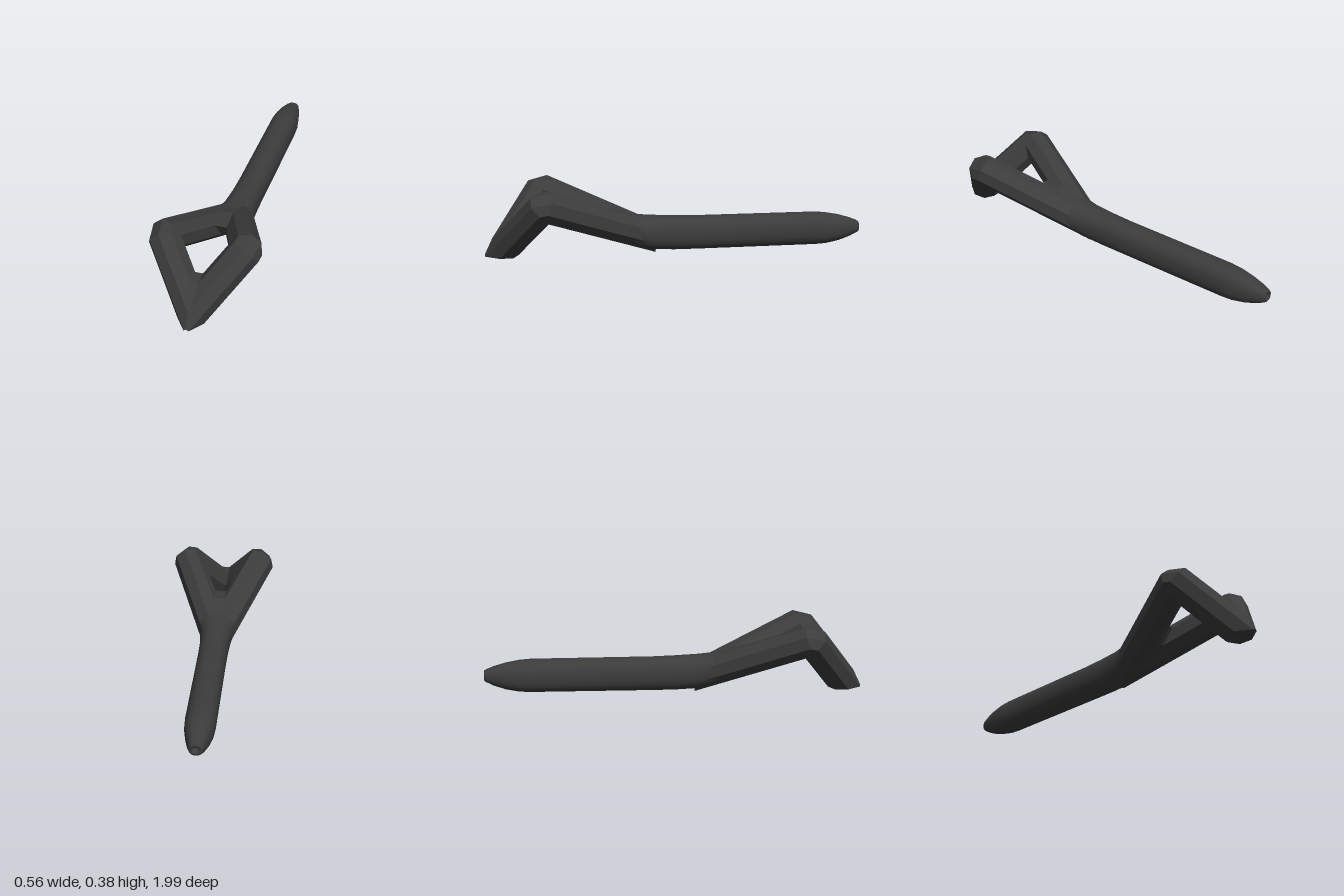
import * as THREE from 'three';

const V = (x, y, z) => new THREE.Vector3(x, y, z);

// Skin a list of closed rings; flip reverses the facing, capEnd closes the last ring
function loft(rings, flip, capEnd) {
  const n = rings[0].length, index = [];
  const tri = (a, b, c) => (flip ? index.push(a, c, b) : index.push(a, b, c));
  for (let i = 0; i < rings.length - 1; i++) {
    for (let j = 0; j < n; j++) {
      const k = (j + 1) % n, a = i * n, b = a + n;
      tri(a + j, a + k, b + k);
      tri(a + j, b + k, b + j);
    }
  }
  const points = rings.flat();
  if (capEnd) {
    const last = (rings.length - 1) * n;
    points.push(capEnd);
    for (let j = 0; j < n; j++) tri(points.length - 1, last + j, last + ((j + 1) % n));
  }
  const geometry = new THREE.BufferGeometry().setFromPoints(points);
  geometry.setIndex(index);
  return geometry;
}

// Octagon points (o: outside of the bend, n: across it), edges subdivided for clean cuts
function octagon(radius, steps) {
  const pts = [];
  const corner = (k) => {
    const a = Math.PI / 8 + (k * Math.PI) / 4;
    return new THREE.Vector2(Math.cos(a), Math.sin(a)).multiplyScalar(radius);
  };
  for (let k = 0; k < 8; k++) {
    for (let s = 0; s < steps; s++) pts.push(corner(k).lerp(corner(k + 1), s / steps));
  }
  return pts;
}

// One side of the loop: rear strut, bevelled elbow, front strut cut at the ground
function armGeometry(side) {
  const elbow = V(0.205, 0.3, 0.685);
  const A = V(0.38, 0.4, 1).normalize();
  const B = V(-1, -1.27, 0.98).normalize();
  const N = A.clone().cross(B).normalize();
  const dot = A.dot(B);
  const outA = B.clone().negate().addScaledVector(A, dot).normalize();
  const outB = A.clone().addScaledVector(B, -dot).normalize();
  const miter = Math.tan(Math.acos(dot) / 2);
  const rings = [[], [], [], [], [], []];
  const toCentre = (p, joins) => V(joins ? 0 : p.x, p.y, p.z);

  for (const { x: o, y: n } of octagon(0.081, 4)) {
    const cut = Math.min(0, o * miter);
    const inner = Math.max(0, -n / 0.075);
    const pA = elbow.clone().addScaledVector(outA, o).addScaledVector(N, n).addScaledVector(A, cut);
    const pB = elbow.clone().addScaledVector(outB, o).addScaledVector(N, n).addScaledVector(B, -cut);

    // rear end meets its mirror image or runs into the handle
    const rearX = (pA.x - 0.03 * inner) / A.x, rearZ = (pA.z - 0.1) / A.z;
    const rear = pA.clone().addScaledVector(A, -Math.min(rearX, rearZ));
    // front end meets its mirror image or stops on the ground
    const frontX = (pB.x - 0.02 * inner) / -B.x, frontY = pB.y / -B.y;
    const front = pB.clone().addScaledVector(B, Math.min(frontX, frontY));

    [toCentre(rear, rearX < rearZ), rear, pA, pB, front, toCentre(front, frontX < frontY)]
      .forEach((p, i) => rings[i].push(V(p.x * side, p.y, p.z)));
  }
  const geometry = loft(rings, side > 0, V(0, 0, 0.92)).toNonIndexed();
  geometry.computeVertexNormals();
  return geometry;
}

// Rounded grip from cross-sections: z, half width, bottom, top
function handleGeometry() {
  const sections = [
    [0.27, 0.118, 0.06, 0.203],
    [0.2, 0.1, 0.032, 0.192],
    [0.12, 0.084, 0.008, 0.186],
    [0, 0.077, 0.001, 0.18],
    [-0.12, 0.075, 0, 0.176],
    [-0.76, 0.075, 0, 0.173],
    [-0.82, 0.072, 0.003, 0.168],
    [-0.89, 0.06, 0.016, 0.155],
    [-0.95, 0.046, 0.036, 0.138],
    [-0.99, 0.034, 0.055, 0.122],
    [-1, 0.028, 0.062, 0.115],
    [-0.998, 0.018, 0.073, 0.105],
    [-0.975, 0.016, 0.075, 0.103],
  ];
  const round = (v) => Math.sign(v) * Math.abs(v) ** 0.85;
  const rings = sections.map(([z, w, y0, y1]) =>
    Array.from({ length: 24 }, (_, j) => {
      const a = (j / 24) * Math.PI * 2;
      return V(w * round(Math.cos(a)), (y0 + y1) / 2 + ((y1 - y0) / 2) * round(Math.sin(a)), z);
    }));
  const geometry = loft(rings, true, V(0, 0.089, -0.975));
  geometry.computeVertexNormals();
  return geometry;
}

export function createModel() {
  const group = new THREE.Group();
  group.name = 'loopedHandle';
  const material = new THREE.MeshStandardMaterial({ color: 0x3c3c3c });
  material.name = 'dark grey';

  const add = (name, geometry) => {
    const mesh = new THREE.Mesh(geometry, material);
    mesh.name = name;
    group.add(mesh);
  };
  add('handle', handleGeometry());
  add('leftLoopArm', armGeometry(1));
  add('rightLoopArm', armGeometry(-1));
  return group;
}
